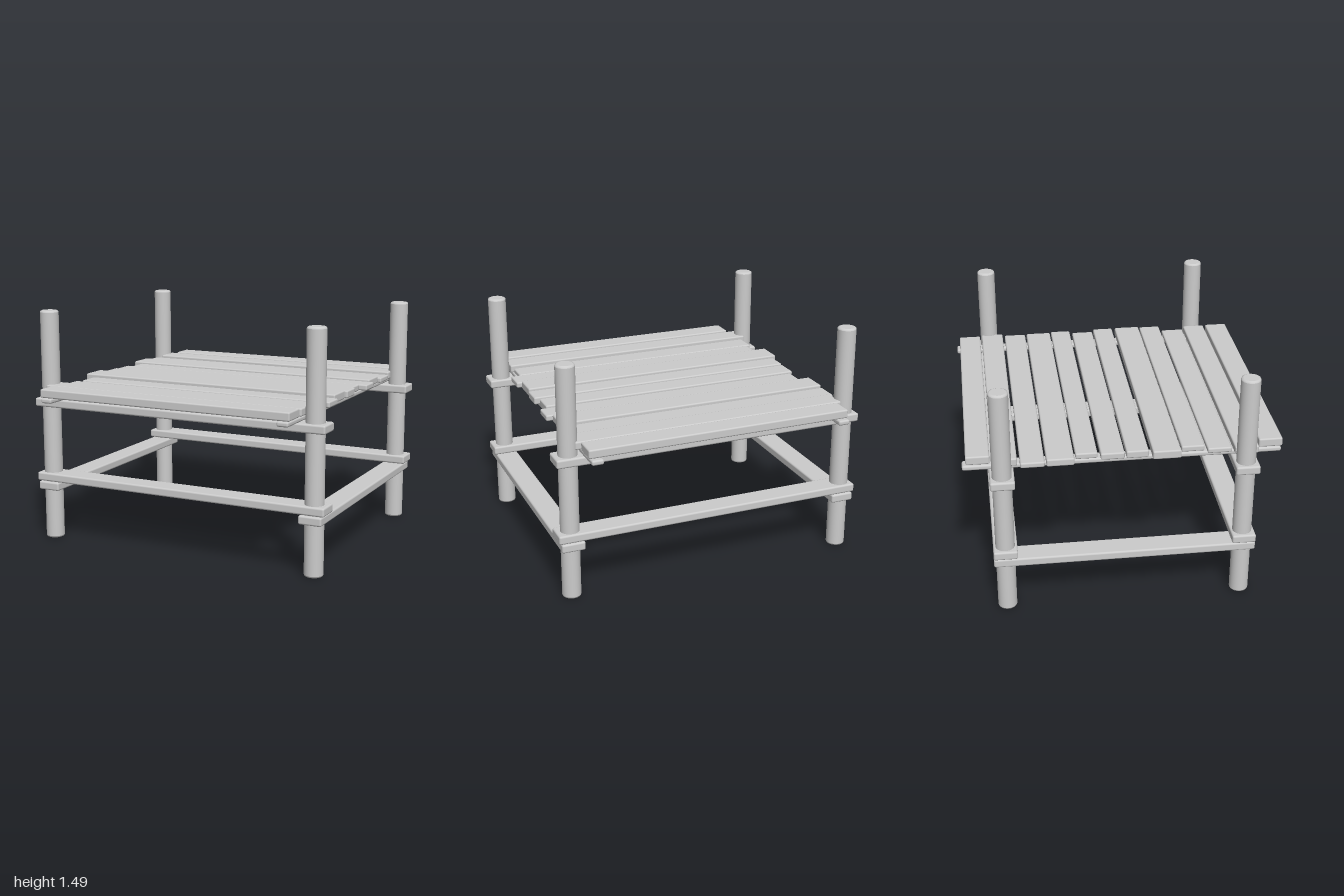
import * as THREE from 'three';
import { RoundedBoxGeometry } from 'three/addons/geometries/RoundedBoxGeometry.js';

export function createModel() {
  const group = new THREE.Group();
  const material = new THREE.MeshStandardMaterial({ color: 0xcccccc });

  function add(name, geometry) {
    const mesh = new THREE.Mesh(geometry, material);
    mesh.name = name;
    group.add(mesh);
    return mesh;
  }

  // Board with softened edges, given by its extents on each axis
  function board(name, x0, x1, y0, y1, z0, z1, radius = 0.012) {
    const geometry = new RoundedBoxGeometry(x1 - x0, y1 - y0, z1 - z0, 2, radius);
    add(name, geometry).position.set((x0 + x1) / 2, (y0 + y1) / 2, (z0 + z1) / 2);
  }

  // Four round posts with slightly bevelled ends
  const r = 0.059, h = 1.49, b = 0.012;
  const profile = [
    [0, 0], [r - b, 0], [r - b, 0], [r - 0.003, 0.004], [r, b], [r, b],
    [r, h - b], [r, h - b], [r - 0.003, h - 0.004], [r - b, h], [r - b, h], [0, h],
  ].map(([x, y]) => new THREE.Vector2(x, y));
  const postGeometry = new THREE.LatheGeometry(profile, 32);
  for (const x of [-0.922, 0.912]) {
    for (const z of [-0.738, 0.725]) {
      add('post', postGeometry).position.set(x, 0, z);
    }
  }

  // Cross rails at the front and back, low and high
  for (const [z0, z1] of [[-0.811, -0.664], [0.653, 0.8]]) {
    board('lowerCrossRail', -1, 1, 0.385, 0.44, z0, z1);
    board('upperCrossRail', -1, 1, 0.875, 0.93, z0, z1);
  }

  // Side rails and the thin joists below the deck
  board('sideRail', -0.99, -0.842, 0.326, 0.381, -0.811, 0.8);
  board('sideRail', 0.836, 0.984, 0.326, 0.381, -0.811, 0.8);
  board('deckJoist', -0.843, -0.768, 0.934, 0.966, -0.968, 0.96);
  board('deckJoist', 0.764, 0.839, 0.934, 0.966, -0.968, 0.96);

  // Uneven deck planks from back to front: x start, x end, z start, z end, top height
  const planks = [
    [-0.84, 0.85, -0.946, -0.803, 1.025],
    [-0.88, 0.88, -0.79, -0.643, 1.02],
    [-0.915, 0.885, -0.627, -0.482, 1.005],
    [-0.915, 0.865, -0.472, -0.306, 1.018],
    [-0.85, 0.9, -0.295, -0.162, 1.008],
    [-0.877, 0.855, -0.146, -0.002, 1.013],
    [-0.877, 0.885, 0.008, 0.143, 1.018],
    [-0.91, 0.875, 0.163, 0.334, 1.025],
    [-0.842, 0.902, 0.347, 0.488, 1.008],
    [-0.878, 0.838, 0.5, 0.648, 1.004],
    [-0.908, 0.855, 0.66, 0.805, 1.02],
    [-0.842, 0.85, 0.82, 0.967, 1.025],
  ];
  for (const [x0, x1, z0, z1, top] of planks) {
    board('deckPlank', x0, x1, 0.97, top, z0, z1, 0.01);
  }

  return group;
}
